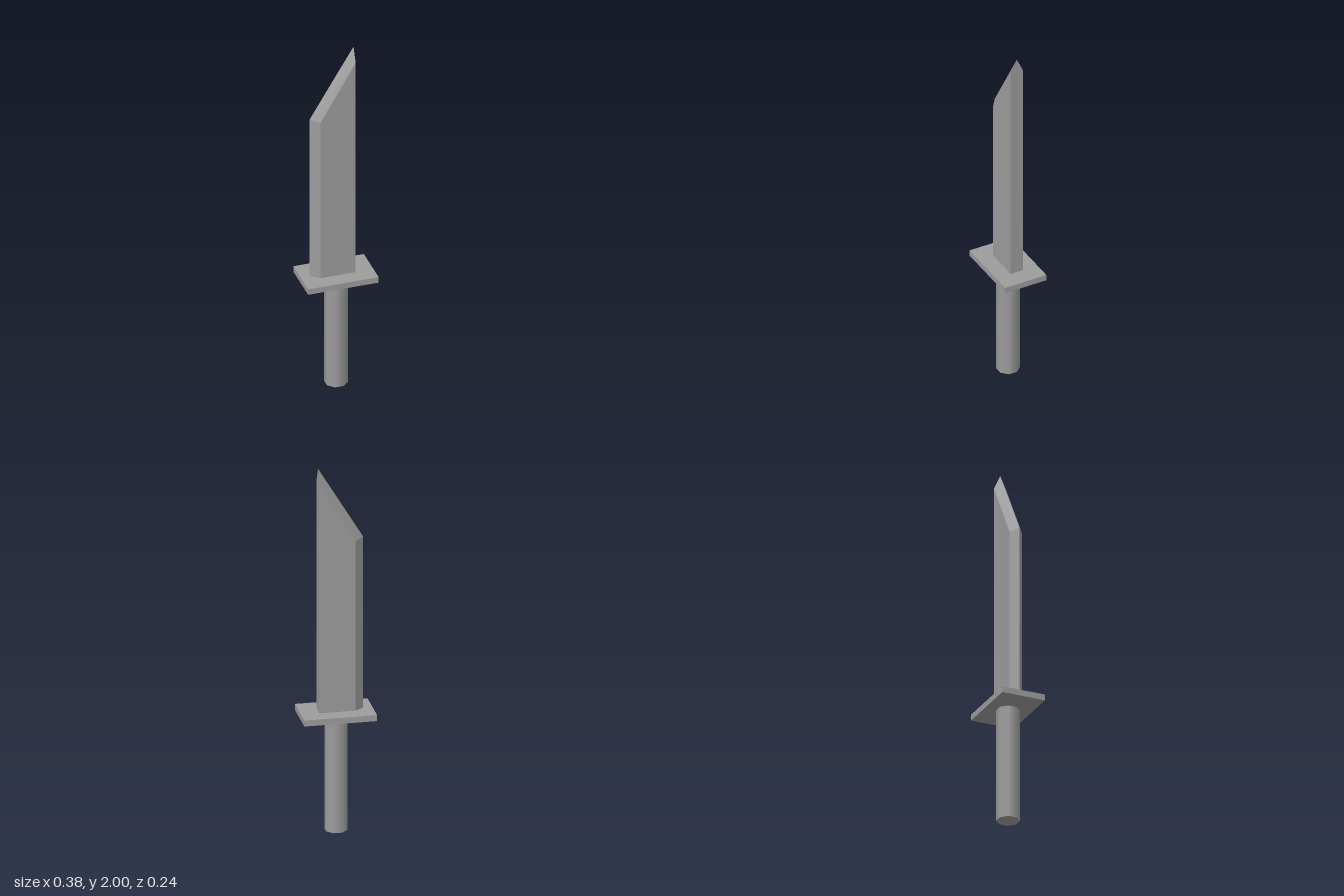
import * as THREE from 'three';

const steel = (extra = {}) => new THREE.MeshStandardMaterial({ color: 0x9d9d9d, ...extra });

function addPart(group, name, geometry, material, y) {
  const mesh = new THREE.Mesh(geometry, material);
  mesh.name = name;
  mesh.position.y = y;
  group.add(mesh);
}

// Single-edged blade: five-sided cross-section whose top is cut on a slant,
// rising from the cutting edge to the tip at the spine.
function bladeGeometry() {
  const half = 0.036;
  const spine = 0.095;
  const bevel = -0.096;
  const edge = -0.143;
  // [x, z, top y] going round the outline, with the tip in the middle of the spine
  const outline = [
    [edge, 0, 0.946],
    [bevel, half, 0.937],
    [spine, half, 1.262],
    [spine, 0, 1.34],
    [spine, -half, 1.262],
    [bevel, -half, 0.937],
  ];
  const n = outline.length;
  const positions = [];
  for (const [x, z] of outline) positions.push(x, 0, z);
  for (const [x, z, y] of outline) positions.push(x, y, z);

  const index = [];
  for (let i = 0; i < n; i++) {
    const j = (i + 1) % n;
    index.push(i, j, n + j, i, n + j, n + i); // side walls
    if (i > 0 && i < n - 1) index.push(0, j, i); // underside
  }
  // The two slanted facets that meet in the ridge from edge to tip
  index.push(n, n + 1, n + 2, n, n + 2, n + 3);
  index.push(n, n + 3, n + 4, n, n + 4, n + 5);

  const indexed = new THREE.BufferGeometry();
  indexed.setAttribute('position', new THREE.Float32BufferAttribute(positions, 3));
  indexed.setIndex(index);
  const geometry = indexed.toNonIndexed();
  geometry.computeVertexNormals();
  return geometry;
}

export function createModel() {
  const group = new THREE.Group();
  group.name = 'shortSword';

  // Eight-sided grip, smoothly shaded, with flats facing front and sides
  const grip = new THREE.CylinderGeometry(0.061, 0.061, 0.63, 8).rotateY(Math.PI / 8);
  addPart(group, 'handle', grip, steel(), 0.315);
  // Flat rectangular guard
  addPart(group, 'guard', new THREE.BoxGeometry(0.383, 0.033, 0.242), steel(), 0.6445);
  // Blade standing on the guard
  addPart(group, 'blade', bladeGeometry(), steel({ flatShading: true }), 0.66);

  return group;
}
